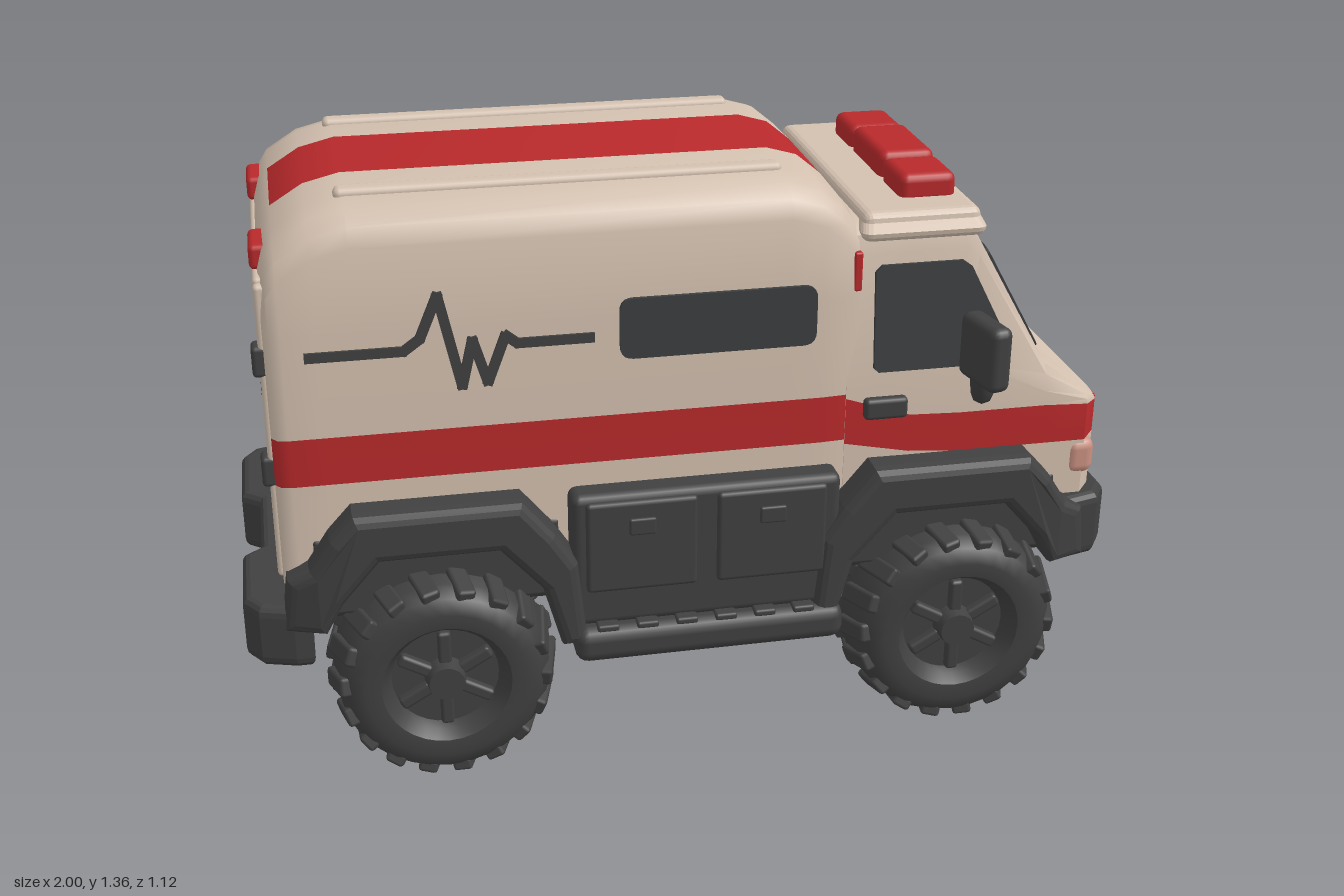
import * as THREE from 'three';
import { toCreasedNormals } from 'three/addons/utils/BufferGeometryUtils.js';
import { RoundedBoxGeometry } from 'three/addons/geometries/RoundedBoxGeometry.js';

const mat = (name, color) => Object.assign(new THREE.MeshStandardMaterial({ color }), { name });

export function createModel() {
  const root = new THREE.Group();
  root.name = 'offroadAmbulance';
  const cream = mat('creamPaint', 0xd3c0af), red = mat('redPaint', 0xb8292b), dark = mat('darkTrim', 0x404040);
  const glass = mat('darkGlass', 0x3d3e3f), maroon = mat('headlampMaroon', 0x5a1f2c), pink = mat('cornerLampPink', 0xcb9182);

  const add = (name, geo, m, parent = root) => {
    const mesh = new THREE.Mesh(geo, m);
    mesh.name = name;
    parent.add(mesh);
    return mesh;
  };
  // Rounded box given by its limits on each axis
  const box = (name, m, x0, x1, y0, y1, z0, z1, r = 0.015) => {
    const s = [x1 - x0, y1 - y0, z1 - z0];
    const mesh = add(name, new RoundedBoxGeometry(...s, 2, Math.min(r, Math.min(...s) * 0.49)), m);
    mesh.position.set((x0 + x1) / 2, (y0 + y1) / 2, (z0 + z1) / 2);
    return mesh;
  };
  const shapeOf = pts => new THREE.Shape(pts.map(p => new THREE.Vector2(...p)));
  // Thin plate centred on its own plane
  const plate = (name, m, shape, depth = 0.009) =>
    add(name, new THREE.ExtrudeGeometry(shape, { depth, bevelEnabled: false, curveSegments: 5 }).translate(0, 0, -depth / 2), m);
  // Rounded quad, optionally narrower at the top
  const roundRect = (x0, x1, y0, y1, r, t = 0) => {
    const s = new THREE.Shape();
    s.moveTo(x0 + r, y0).lineTo(x1 - r, y0).quadraticCurveTo(x1, y0, x1, y0 + r).lineTo(x1 - t, y1 - r)
      .quadraticCurveTo(x1 - t, y1, x1 - t - r, y1).lineTo(x0 + t + r, y1).quadraticCurveTo(x0 + t, y1, x0 + t, y1 - r)
      .lineTo(x0, y0 + r).quadraticCurveTo(x0, y0, x0 + r, y0);
    return s;
  };

  // Body shell lofted along x; each section is a half profile [z, y] from sill to roof, mirrored
  const loft = (name, sections, isRed) => {
    const rings = sections.map(([x, half]) => [
      ...half.map(([z, y]) => [x, y, z]), ...half.slice().reverse().map(([z, y]) => [x, y, -z])]);
    const n = rings[0].length, pos = [[], []];
    const tri = (k, ...ps) => ps.forEach(p => pos[k].push(...p));
    for (let i = 0; i < rings.length - 1; i++) for (let j = 0; j < n; j++) {
      const k = isRed(Math.min(j, n - 2 - j), i) ? 1 : 0, q = (j + 1) % n;
      const a = rings[i][j], b = rings[i][q], c = rings[i + 1][q], d = rings[i + 1][j];
      tri(k, a, d, c);
      tri(k, a, c, b);
    }
    const first = rings[0], last = rings[rings.length - 1];
    for (let j = 0; j < n; j++) {
      const q = (j + 1) % n;
      tri(0, [first[0][0], 0.7, 0], first[j], first[q]);
      tri(0, [last[0][0], 0.66, 0], last[q], last[j]);
    }
    const g = new THREE.BufferGeometry();
    g.setAttribute('position', new THREE.Float32BufferAttribute([...pos[0], ...pos[1]], 3));
    g.addGroup(0, pos[0].length / 3, 0);
    g.addGroup(pos[0].length / 3, pos[1].length / 3, 1);
    return add(name, toCreasedNormals(g, 0.7), [cream, red]);
  };

  // Rear compartment: x, half width, roof height
  const boxSection = ([x, w, t]) => [x, [[w, 0.5], [w, 0.74], [w, 0.85], [w - 0.004, 1.08], [w - 0.01, t - 0.085],
    [w - 0.025, t - 0.045], [w - 0.06, t - 0.015], [w - 0.12, t - 0.004], [0.135, t]]];
  loft('rearCompartment', [[-0.907, 0.378, 1.21], [-0.895, 0.394, 1.25], [-0.872, 0.4, 1.285], [-0.8, 0.4, 1.33], [-0.72, 0.4, 1.35],
    [0.22, 0.4, 1.35], [0.29, 0.4, 1.33], [0.345, 0.396, 1.285], [0.375, 0.388, 1.245]].map(boxSection),
  (j, i) => j === 1 || (j === 8 && i > 1));

  // Cab with sloping windscreen and short bonnet
  loft('cab', [
    [0.35, [[0.397, 0.48], [0.397, 0.73], [0.397, 0.84], [0.393, 0.9], [0.372, 1.17], [0.36, 1.21], [0.32, 1.235]]],
    [0.5, [[0.4, 0.48], [0.4, 0.7], [0.4, 0.79], [0.395, 0.9], [0.372, 1.17], [0.36, 1.21], [0.32, 1.235]]],
    [0.62, [[0.4, 0.48], [0.4, 0.69], [0.4, 0.785], [0.395, 0.9], [0.372, 1.17], [0.36, 1.21], [0.32, 1.235]]],
    [0.65, [[0.4, 0.48], [0.4, 0.69], [0.4, 0.785], [0.395, 0.9], [0.37, 1.15], [0.36, 1.185], [0.32, 1.195]]],
    [0.82, [[0.4, 0.48], [0.4, 0.69], [0.4, 0.785], [0.4, 0.82], [0.393, 0.86], [0.38, 0.882], [0.33, 0.89]]],
    [0.925, [[0.4, 0.5], [0.4, 0.69], [0.4, 0.78], [0.397, 0.79], [0.39, 0.798], [0.375, 0.804], [0.33, 0.808]]],
    [0.962, [[0.355, 0.54], [0.355, 0.69], [0.355, 0.77], [0.353, 0.773], [0.35, 0.776], [0.34, 0.779], [0.31, 0.782]]],
  ], j => j === 1);
  // Roof brim, tapered towards its upper edge
  const brim = box('roofBrim', cream, 0.378, 0.663, 1.195, 1.256, -0.383, 0.383, 0.022);
  const bp = brim.geometry.attributes.position;
  for (let i = 0; i < bp.count; i++) if (bp.getY(i) > 0) bp.setXYZ(i, bp.getX(i) * 0.95, bp.getY(i), bp.getZ(i) * 0.94);
  brim.geometry.computeVertexNormals();
  box('visorSeal', dark, 0.64, 0.662, 1.181, 1.191, -0.33, 0.33, 0.004);
  box('noseStripe', red, 0.955, 0.9645, 0.75, 0.779, -0.352, 0.352, 0.003);
  box('rearDoorHeader', cream, -0.918, -0.89, 1.165, 1.2, -0.35, 0.35, 0.01);
  box('rearDoorGap', dark, -0.91, -0.89, 0.51, 1.165, -0.005, 0.005, 0.002);

  for (const s of [-1, 1]) {
    // Windscreen panes
    const pane = plate('windscreenPane', glass, roundRect(-0.161, 0.161, -0.143, 0.143, 0.025, 0.008));
    pane.rotation.order = 'YXZ';
    pane.rotation.set(-0.508, Math.PI / 2, 0);
    pane.position.set(0.751, 1.021, s * 0.168);

    // Rear doors, set inside a raised frame
    const rearPane = plate('rearDoorWindow', glass, roundRect(-0.12, 0.12, -0.125, 0.125, 0.035));
    rearPane.rotation.y = -Math.PI / 2;
    rearPane.position.set(-0.908, 1.01, s * 0.155);
    box('rearDoorPost', cream, -0.918, -0.89, 0.51, 1.19, s * 0.343 - 0.026, s * 0.343 + 0.026, 0.01);
    box('rearDoorHandle', dark, -0.925, -0.9, 0.82, 0.85, s * 0.06 - 0.03, s * 0.06 + 0.03, 0.006);
    // Chevron bars rising to the door gap
    for (const bar of [[[0.008, 0.555], [0.008, 0.65], [0.21, 0.515], [0.06, 0.515]],
      [[0.008, 0.7], [0.008, 0.795], [0.314, 0.592], [0.314, 0.515], [0.285, 0.515]]]) {
      const chevron = plate('rearChevron', red, shapeOf(bar.map(([z, y]) => [s * z, y])));
      chevron.rotation.y = -Math.PI / 2;
      chevron.position.x = -0.908;
    }
    box('rearBeacon', red, -0.922, -0.87, 1.197, 1.252, s * 0.235 - 0.06, s * 0.235 + 0.06, 0.012);
    for (const y of [1.02, 0.765]) box('rearHinge', dark, -0.933, -0.895, y - 0.035, y + 0.035, s * 0.345 - 0.025, s * 0.345 + 0.025, 0.01);

    // Lamps on the nose and markers behind the cab
    box('headlamp', maroon, 0.95, 0.968, 0.604, 0.7, s * 0.252 - 0.063, s * 0.252 + 0.063, 0.003);
    box('cornerLamp', pink, 0.885, 0.955, 0.6, 0.69, s * 0.374 - 0.032, s * 0.374 + 0.032, 0.025);
    box('markerLamp', red, 0.36, 0.379, 1.09, 1.18, s * 0.378 - 0.01, s * 0.378 + 0.01, 0.005);
    box('roofRib', cream, -0.74, 0.22, 1.33, 1.36, s * 0.265 - 0.022, s * 0.265 + 0.022, 0.014);
  }

  // Side details
  const pulse = [[-0.82, 1.035], [-0.62, 1.035], [-0.585, 1.06], [-0.545, 1.155], [-0.5, 0.945], [-0.475, 1.05],
    [-0.445, 0.95], [-0.405, 1.055], [-0.38, 1.035], [-0.22, 1.035]];
  // Wheel arch, outer end at -x, thinned towards that end
  const archShape = shapeOf([[-0.32, 0.43], [-0.308, 0.52], [-0.265, 0.545], [-0.215, 0.62], [-0.172, 0.667], [0.172, 0.667],
    [0.235, 0.59], [0.28, 0.52], [0.298, 0.345], [0.282, 0.345], [0.245, 0.48], [0.14, 0.598], [-0.14, 0.598], [-0.23, 0.495], [-0.265, 0.43]]);
  const archGeo = new THREE.ExtrudeGeometry(archShape,
    { depth: 0.09, bevelSize: 0.024, bevelThickness: 0.036, bevelSegments: 3 }).translate(0, 0, -0.045);
  const ap = archGeo.attributes.position;
  for (let i = 0; i < ap.count; i++) ap.setZ(i, ap.getZ(i) * (1 - 5 * Math.max(0, -ap.getX(i) - 0.24)));
  archGeo.computeVertexNormals();

  for (const s of [-1, 1]) {
    plate('sideWindow', glass, roundRect(-0.16, 0.275, 0.98, 1.118, 0.03)).position.z = s * 0.4;
    const cabWindow = plate('cabSideWindow', glass, shapeOf([[0.41, -0.11], [0.41, 0.11], [0.425, 0.125], [0.61, 0.125], [0.63, 0.11],
      [0.715, -0.06], [0.71, -0.11], [0.69, -0.12], [0.42, -0.12]]));
    cabWindow.position.set(0, 1.02, s * 0.39);
    cabWindow.rotation.x = -s * 0.086;
    box('cabDoorHandle', dark, 0.39, 0.49, 0.79, 0.84, s * 0.403 - 0.015, s * 0.403 + 0.015, 0.01);

    // Heartbeat line from short bars
    pulse.slice(1).forEach(([x, y], i) => {
      const [px, py] = pulse[i], len = Math.hypot(x - px, y - py);
      const bar = add('pulseLine', new THREE.BoxGeometry(len + 0.012, 0.022, 0.006), dark);
      bar.position.set((x + px) / 2, (y + py) / 2, s * 0.4);
      bar.rotation.z = Math.atan2(y - py, x - px);
    });

    // Wheel arches with dark liners
    for (const x of [-0.57, 0.59]) {
      const arch = add('wheelArch', archGeo, dark);
      arch.position.set(x, 0, s * 0.4);
      if (x > 0) arch.rotation.y = Math.PI;
      box('archLiner', dark, x - 0.27, x + 0.27, 0.42, 0.61, s * 0.3 - 0.104, s * 0.3 + 0.104, 0.01);
    }

    // Lockers and running board
    box('sideLocker', dark, -0.28, 0.33, 0.36, 0.685, s * 0.41 - 0.05, s * 0.41 + 0.05, 0.02);
    for (const x of [-0.125, 0.17]) {
      box('lockerDoor', dark, x - 0.125, x + 0.125, 0.45, 0.67, s * 0.46 - 0.012, s * 0.46 + 0.012, 0.01);
      box('lockerLatch', dark, x - 0.03, x + 0.03, 0.59, 0.63, s * 0.473 - 0.006, s * 0.473 + 0.006, 0.005);
    }
    box('runningBoard', dark, -0.28, 0.34, 0.28, 0.365, s * 0.43 - 0.065, s * 0.43 + 0.065, 0.03);
    for (let i = 0; i < 6; i++) box('stepGrip', dark, -0.23 + i * 0.09, -0.18 + i * 0.09, 0.355, 0.372, s * 0.45 - 0.035, s * 0.45 + 0.035, 0.006);

    // Mirror on its arm
    const mirror = box('mirrorHead', dark, 0.605, 0.66, 0.895, 1.045, s * 0.49 - 0.072, s * 0.49 + 0.072, 0.02);
    mirror.rotation.y = s * 0.2;
    const arm = new THREE.CatmullRomCurve3([[0.67, 0.83, 0.39], [0.66, 0.84, 0.42], [0.64, 0.92, 0.45]].map(([x, y, z]) => new THREE.Vector3(x, y, s * z)));
    add('mirrorArm', new THREE.TubeGeometry(arm, 6, 0.026, 8), dark);
  }

  // Bumpers extruded from a half plan [x, z], with raised ends and swept corners
  const bumper = (name, half, y0, y1) => {
    const plan = shapeOf([...half, ...half.slice().reverse().map(([x, z]) => [x, -z])]);
    const g = new THREE.ExtrudeGeometry(plan, { depth: y1 - y0 - 0.05, bevelSize: 0.018, bevelThickness: 0.025, bevelSegments: 3 });
    add(name, g.rotateX(Math.PI / 2), dark).position.y = y1 - 0.025;
  };
  bumper('frontBumper', [[0.966, 0.14], [0.982, 0.165], [0.982, 0.36], [0.955, 0.4], [0.88, 0.42], [0.86, 0.42]], 0.395, 0.555);
  bumper('rearBumper', [[-0.94, 0.13], [-0.982, 0.165], [-0.982, 0.36], [-0.955, 0.4], [-0.89, 0.42], [-0.87, 0.42]], 0.315, 0.465);

  // Roof beacons
  for (const [z, w, h] of [[0, 0.115, 1.315], [-0.195, 0.072, 1.308], [0.195, 0.072, 1.308]])
    box('beacon', red, 0.495, 0.625, 1.24, h, z - w, z + w, 0.02);

  // Underbody and axle housings
  box('underbody', dark, -0.9, 0.93, 0.4, 0.54, -0.385, 0.385, 0.02);
  box('chassis', dark, -0.28, 0.34, 0.28, 0.45, -0.4, 0.4, 0.02);
  for (const x of [-0.57, 0.62]) {
    const axle = add('axleHousing', new THREE.CylinderGeometry(0.17, 0.17, 0.56, 24), dark);
    axle.rotation.x = Math.PI / 2;
    axle.position.set(x, 0.38, 0);
  }

  // Wheels: lathed tyre, skewed tread lugs, dished rim
  const tyreProfile = [[0.1, -0.13], [0.18, -0.135], [0.215, -0.122], [0.235, -0.09], [0.245, 0], [0.235, 0.09],
    [0.215, 0.122], [0.18, 0.135], [0.145, 0.13], [0.128, 0.105], [0.12, 0.085], [0, 0.085]].map(p => new THREE.Vector2(...p));
  const tyreGeo = toCreasedNormals(new THREE.LatheGeometry(tyreProfile, 32), 0.8).rotateX(Math.PI / 2);
  const lugGeo = new RoundedBoxGeometry(0.044, 0.03, 0.12, 1, 0.008);
  const spokeGeo = new RoundedBoxGeometry(0.03, 0.08, 0.03, 1, 0.008);
  const hubGeo = new THREE.CylinderGeometry(0.04, 0.05, 0.05, 16).rotateX(Math.PI / 2);
  for (const x of [-0.57, 0.62]) for (const s of [-1, 1]) {
    const wheel = new THREE.Group();
    wheel.name = 'wheel';
    wheel.position.set(x, 0.262, s * 0.355);
    if (s < 0) wheel.rotation.y = Math.PI;
    add('tyre', tyreGeo, dark, wheel);
    add('hub', hubGeo, dark, wheel).position.z = 0.1;
    for (let i = 0; i < 36; i++) {
      const a = i * Math.PI / 18, side = i % 2 ? 1 : -1;
      const lug = add('treadLug', lugGeo, dark, wheel);
      lug.rotation.order = 'ZYX';
      lug.rotation.set(side * 0.22, side * 0.25, a);
      lug.position.set(-Math.sin(a) * 0.233, Math.cos(a) * 0.233, side * 0.066);
    }
    for (let i = 0; i < 6; i++) {
      const a = i * Math.PI / 3, spoke = add('spoke', spokeGeo, dark, wheel);
      spoke.rotation.z = a;
      spoke.position.set(-Math.sin(a) * 0.078, Math.cos(a) * 0.078, 0.09);
    }
    root.add(wheel);
  }
  return root;
}
